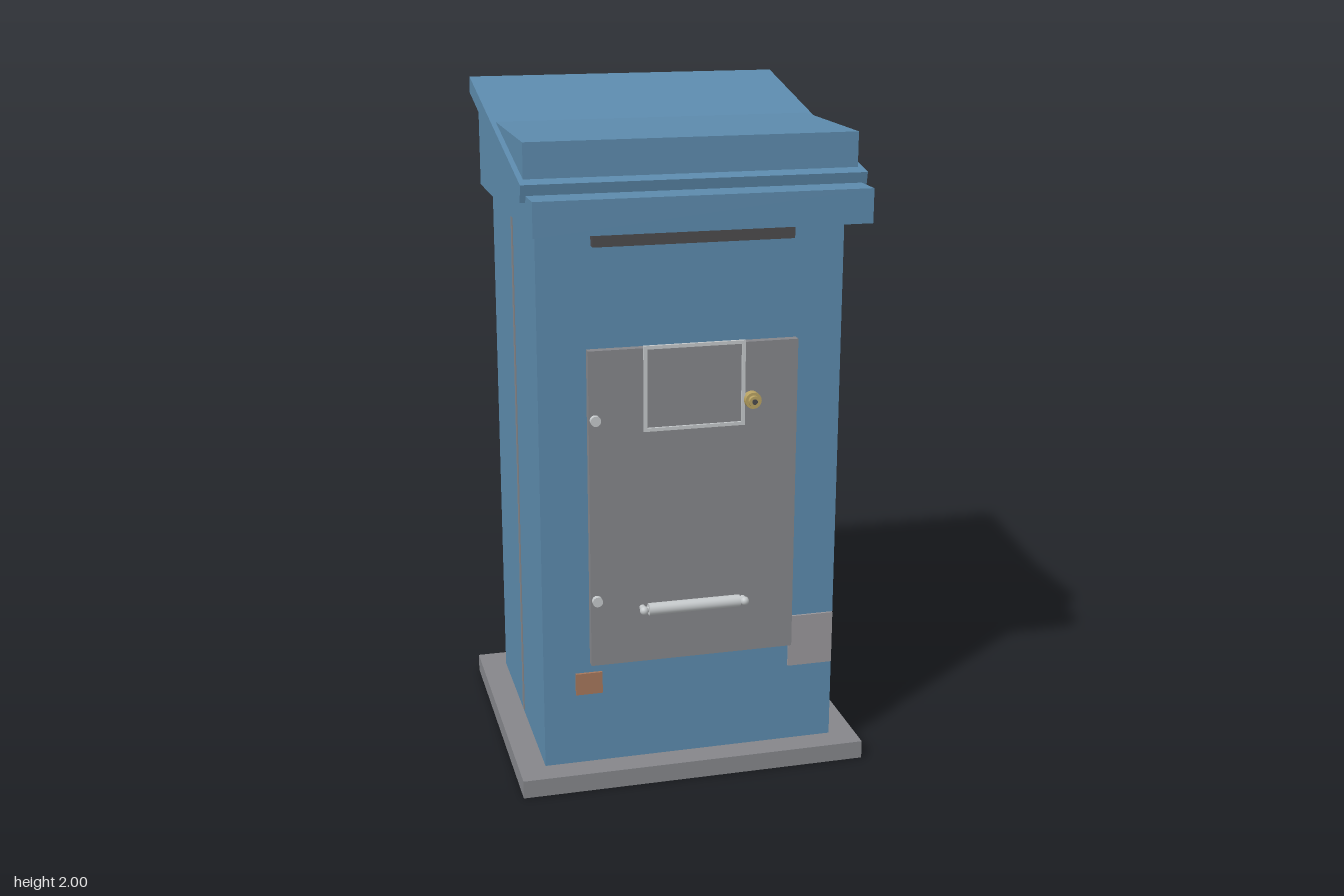
import * as THREE from 'three';

const mat = (color) => new THREE.MeshStandardMaterial({ color });

export function createModel() {
  const model = new THREE.Group();
  const blue = mat(0x5c8aac), grey = mat(0x85868a), dark = mat(0x4c4a4c);
  const steel = mat(0xc4c8ca), brass = mat(0xb8a262), copper = mat(0xa5775c), stone = mat(0x99969a);

  const add = (name, geometry, material, x, y, z, parent = model) => {
    const mesh = new THREE.Mesh(geometry, material);
    mesh.name = name;
    mesh.position.set(x, y, z);
    parent.add(mesh);
    return mesh;
  };
  // Box given by its limits on each axis
  const box = (name, material, [x0, x1], [y0, y1], [z0, z1], parent) =>
    add(name, new THREE.BoxGeometry(x1 - x0, y1 - y0, z1 - z0), material,
      (x0 + x1) / 2, (y0 + y1) / 2, (z0 + z1) / 2, parent);
  // Cylinder pointing forwards
  const stud = (name, material, r, length, x, y, z, parent) =>
    add(name, new THREE.CylinderGeometry(r, r, length, 24).rotateX(Math.PI / 2), material, x, y, z, parent);

  // Base and cabinet
  box('basePlate', grey, [-0.525, 0.525], [0, 0.055], [-0.467, 0.445]);
  box('cabinet', blue, [-0.445, 0.445], [0.055, 1.68], [-0.38, 0.366]);
  for (const s of [-1, 1]) {
    add('sideSeam', new THREE.BoxGeometry(0.006, 1.61, 0.02), grey, s * 0.445, 0.87, -0.01);
  }

  // Hood, front lip and sloping roof
  box('hood', blue, [-0.475, 0.475], [1.675, 1.91], [-0.43, 0.38]);
  box('frontLip', blue, [-0.475, 0.475], [1.675, 1.772], [0.37, 0.515]);
  const roof = add('roof', new THREE.BoxGeometry(0.98, 0.05, 0.945), blue, 0, 1.877, -0.046);
  roof.rotation.x = 0.212;
  box('slot', dark, [-0.29, 0.29], [1.62, 1.675], [0.36, 0.395]);

  // Door with window frame, hinge studs, lock and handle
  const door = new THREE.Group();
  door.name = 'door';
  model.add(door);
  box('doorPanel', grey, [-0.308, 0.305], [0.38, 1.33], [0.375, 0.4], door);
  box('doorBacking', dark, [-0.29, 0.29], [0.4, 1.31], [0.36, 0.38], door);

  const frame = new THREE.Shape();
  frame.moveTo(-0.15, 1.087).lineTo(0.147, 1.087).lineTo(0.147, 1.337).lineTo(-0.15, 1.337).closePath();
  const opening = new THREE.Path();
  opening.moveTo(-0.14, 1.097).lineTo(-0.14, 1.327).lineTo(0.137, 1.327).lineTo(0.137, 1.097).closePath();
  frame.holes.push(opening);
  add('windowFrame', new THREE.ExtrudeGeometry(frame, { depth: 0.009, bevelEnabled: false }),
    steel, 0, 0, 0.398, door);

  for (const y of [0.585, 1.13]) stud('hingeStud', steel, 0.015, 0.02, -0.29, y, 0.405, door);

  stud('lockBody', brass, 0.024, 0.026, 0.167, 1.162, 0.412, door);
  stud('lockCore', brass, 0.016, 0.014, 0.167, 1.162, 0.43, door);
  stud('keyhole', dark, 0.008, 0.004, 0.167, 1.162, 0.437, door);

  add('handleBar', new THREE.CylinderGeometry(0.018, 0.018, 0.275, 24).rotateZ(Math.PI / 2),
    steel, -0.003, 0.55, 0.418, door);
  add('handleRod', new THREE.CylinderGeometry(0.008, 0.008, 0.3, 16).rotateZ(Math.PI / 2),
    steel, -0.003, 0.55, 0.418, door);
  for (const s of [-1, 1]) {
    add('handleEnd', new THREE.SphereGeometry(0.013, 20, 12), steel, -0.003 + s * 0.152, 0.55, 0.425, door);
    stud('handlePost', steel, 0.009, 0.03, -0.003 + s * 0.152, 0.55, 0.41, door);
  }

  // Small plates on the front
  box('cornerPlate', stone, [0.305, 0.443], [0.3, 0.462], [0.36, 0.373]);
  box('copperPlate', copper, [-0.35, -0.27], [0.278, 0.345], [0.36, 0.374]);

  return model;
}
